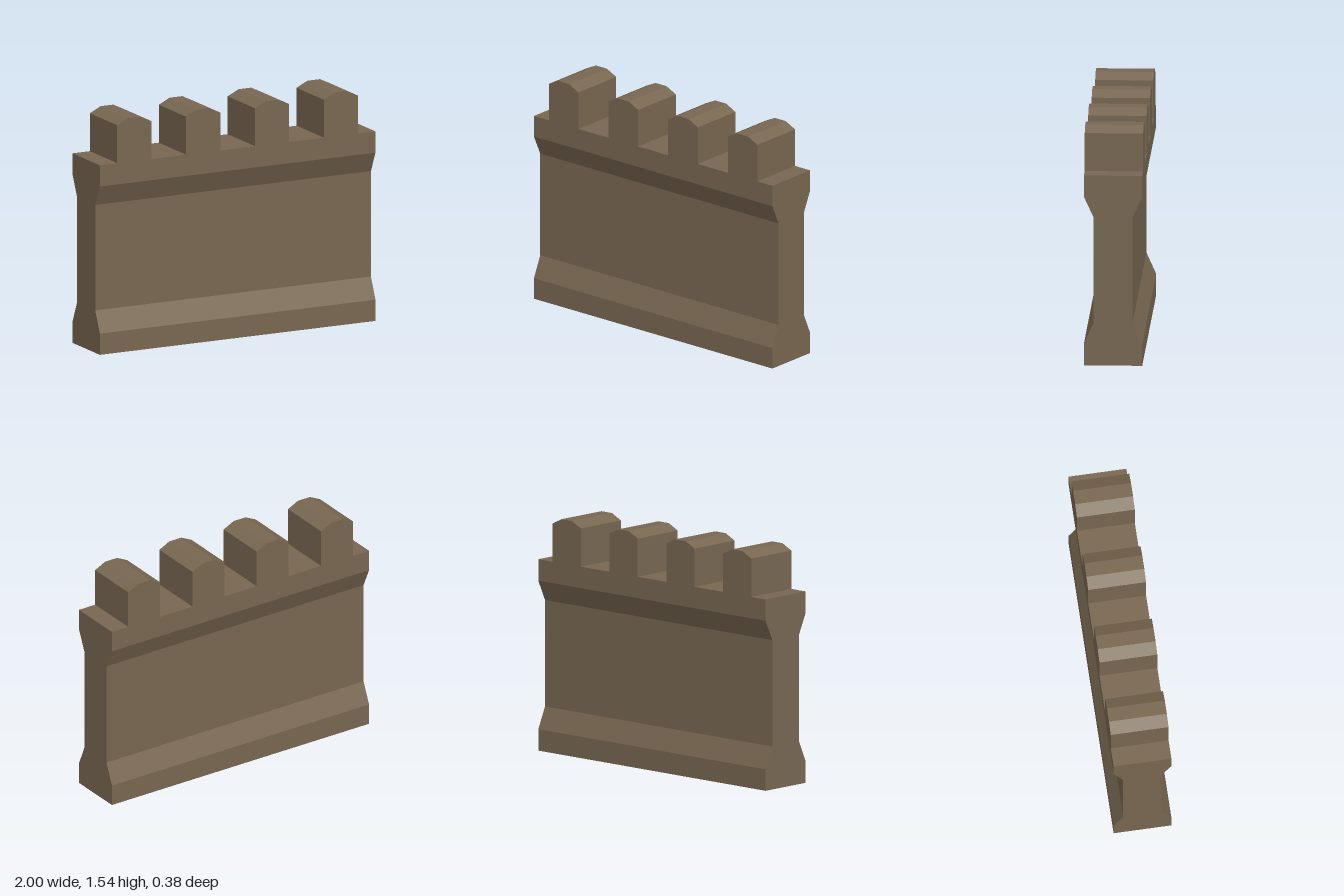
import * as THREE from 'three';

const LENGTH = 2, DEPTH = 0.375, WALL_TOP = 1.25;

// Extrude a closed outline, centred along its depth
function extrudeOutline(points, depth) {
  const shape = new THREE.Shape(points.map(([x, y]) => new THREE.Vector2(x, y)));
  const geometry = new THREE.ExtrudeGeometry(shape, { depth, bevelEnabled: false });
  return geometry.translate(0, 0, -depth / 2);
}

// Complete a right-hand outline (listed bottom to top) with its mirrored left side
function mirrored(right) {
  return [...right, ...right.map(([x, y]) => [-x, y]).reverse()];
}

export function createModel() {
  const group = new THREE.Group();
  const stone = new THREE.MeshStandardMaterial({ color: 0x786751, flatShading: true });
  stone.name = 'brown stone';

  // Wall: flared foot, narrow middle and flared top, running along x
  const half = DEPTH / 2;
  const section = mirrored([
    [half, 0], [half, 0.14], [0.125, 0.28],
    [0.125, 0.975], [half, 1.11], [half, WALL_TOP],
  ]);
  const wall = new THREE.Mesh(extrudeOutline(section, LENGTH).rotateY(-Math.PI / 2), stone);
  wall.name = 'wall';
  group.add(wall);

  // Battlements: four evenly spaced blocks with chamfered tops
  const merlonGeometry = extrudeOutline(
    mirrored([[0.124, 0], [0.124, 0.25], [0.046, 0.288]]), DEPTH);
  for (let i = 0; i < 4; i++) {
    const merlon = new THREE.Mesh(merlonGeometry, stone);
    merlon.name = `merlon${i + 1}`;
    merlon.position.set(-0.75 + i * 0.5, WALL_TOP, 0);
    group.add(merlon);
  }
  return group;
}
